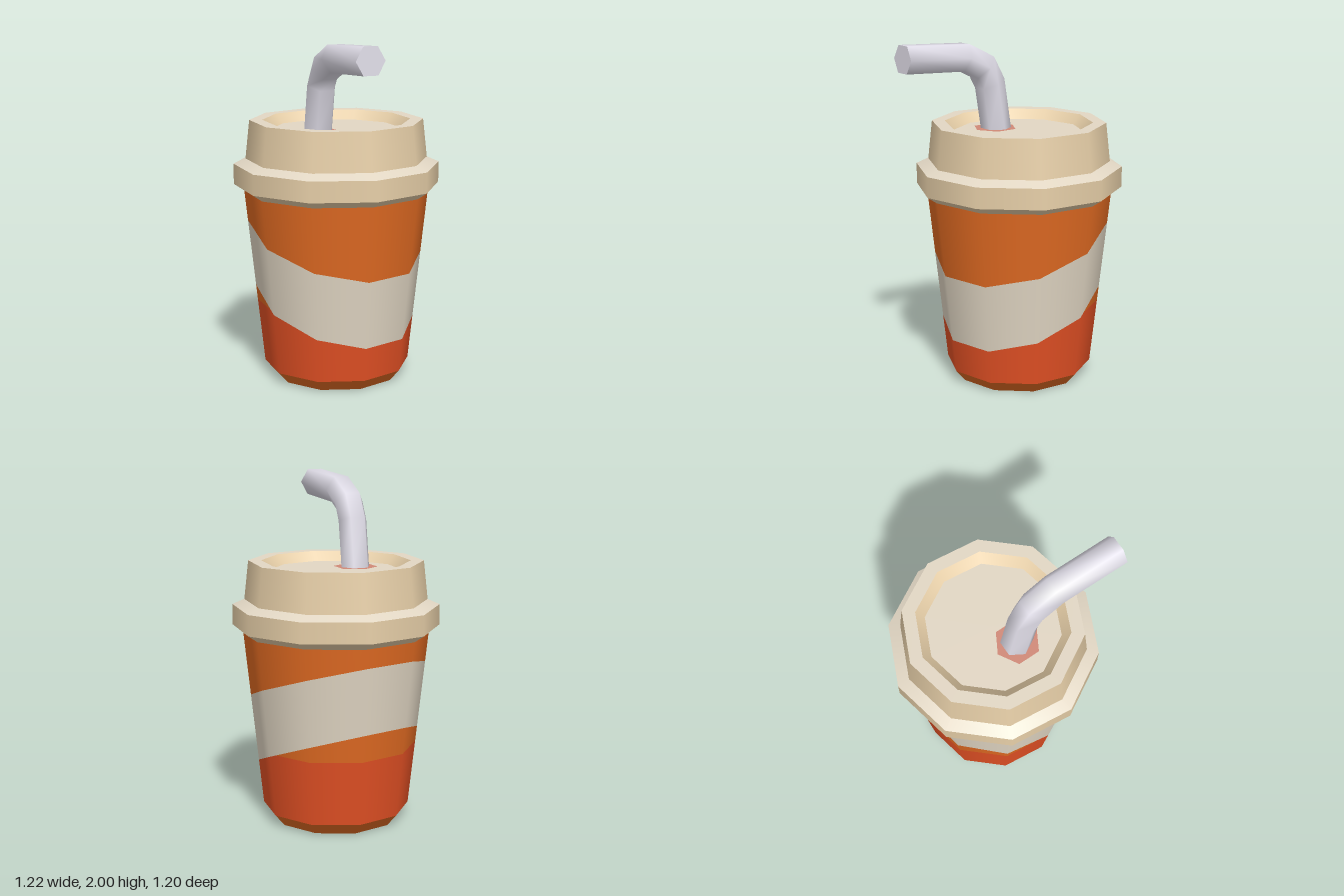
import * as THREE from 'three';

const SIDES = 10;
const CX = -0.04; // cup axis

const mat = (name, color, side = THREE.FrontSide) => {
  const m = new THREE.MeshStandardMaterial({ color, side });
  m.name = name;
  return m;
};

function build(name, positions, indices, material, normals) {
  const g = new THREE.BufferGeometry();
  g.setAttribute('position', new THREE.Float32BufferAttribute(positions, 3));
  g.setIndex(indices);
  if (normals) g.setAttribute('normal', new THREE.Float32BufferAttribute(normals, 3));
  else g.computeVertexNormals();
  const mesh = new THREE.Mesh(g, material);
  mesh.name = name;
  return mesh;
}

// One ten-sided ring between two profile points [radius, y]
function ring(name, a, b, material) {
  const g = new THREE.LatheGeometry([new THREE.Vector2(...a), new THREE.Vector2(...b)], SIDES);
  const mesh = new THREE.Mesh(g, material);
  mesh.position.x = CX;
  mesh.name = name;
  return mesh;
}

// Tapered cup wall
const Y0 = 0.07, Y1 = 1.11, R0 = 0.43, R1 = 0.54;
const K = (R1 - R0) / (Y1 - Y0);
const radiusAt = (y) => R0 + K * (y - Y0);

// Height at which the sloping plane y = a + b*x meets the wall in direction ux
const slope = (a, b) => (ux) => (a + b * (CX + ux * (R0 - K * Y0))) / (1 - b * ux * K);

// Part of the wall between two height functions
function wallBand(name, low, high, material) {
  const pos = [], nor = [], idx = [];
  const steps = 12, cols = SIDES * steps;
  for (let i = 0; i <= cols; i++) {
    const face = Math.floor(i / steps), t = (i % steps) / steps;
    const p = (face / SIDES) * Math.PI * 2, q = ((face + 1) / SIDES) * Math.PI * 2;
    const ux = Math.sin(p) * (1 - t) + Math.sin(q) * t;
    const uz = Math.cos(p) * (1 - t) + Math.cos(q) * t;
    const n = new THREE.Vector3(ux, -K, uz).normalize();
    for (const y of [low(ux), high(ux)]) {
      pos.push(CX + ux * radiusAt(y), y, uz * radiusAt(y));
      nor.push(n.x, n.y, n.z);
    }
    if (i < cols) {
      const a = i * 2;
      idx.push(a, a + 2, a + 3, a, a + 3, a + 1);
    }
  }
  return build(name, pos, idx, material, nor);
}

// Six-sided bent straw: path given as [distance along bend direction, y]
function straw(material) {
  const path = [[0, 1.46], [0.045, 1.74], [0.1, 1.84], [0.23, 1.905], [0.63, 1.924]];
  const r = 0.088, hx = 0.975, hz = 0.22;
  const pos = [], idx = [];
  const dir = (i) => new THREE.Vector2(path[i + 1][0] - path[i][0], path[i + 1][1] - path[i][1]).normalize();
  const addLoop = (i) => {
    const last = path.length - 1;
    const d1 = dir(Math.max(i - 1, 0)), d2 = dir(Math.min(i, last - 1));
    const t = d1.clone().add(d2).normalize();
    const miter = 1 / t.dot(d1);
    for (let j = 0; j < 6; j++) {
      const s = r * Math.cos((j * Math.PI) / 3);
      const u = r * Math.sin((j * Math.PI) / 3) * miter;
      const along = path[i][0] - t.y * u;
      pos.push(-0.02 + along * hx + s * hz, path[i][1] + t.x * u, 0.155 + along * hz - s * hx);
    }
  };
  path.forEach((_, i) => addLoop(i));
  for (let i = 0; i < path.length - 1; i++) {
    for (let j = 0; j < 6; j++) {
      const a = i * 6 + j, b = i * 6 + ((j + 1) % 6);
      idx.push(a, b, b + 6, a, b + 6, a + 6);
    }
  }
  // closed tip, with its own corners so the edge stays sharp
  addLoop(path.length - 1);
  const c = path.length * 6;
  for (let j = 1; j < 5; j++) idx.push(c, c + j, c + j + 1);
  return build('straw', pos, idx, material);
}

export function createModel() {
  const orange = mat('orange', 0xe06a22);
  const red = mat('red', 0xe25024);
  const cream = mat('cream', 0xe2d7c4);
  const tan = mat('tan', 0xe8d0a9);
  const grey = mat('pale grey', 0xe0dde8);
  const pink = mat('dusty pink', 0xd08977, THREE.DoubleSide);

  const model = new THREE.Group();
  model.name = 'drinkCup';

  // Cup wall with a slanted stripe
  const stripeTop = slope(0.815, -0.338);
  const stripeLow = slope(0.417, -0.38);
  const redTop = (ux) => Math.min(0.45, stripeLow(ux));
  const cup = new THREE.Group();
  cup.name = 'cup';
  cup.add(
    ring('cupBottom', [0, 0], [0.37, 0], red),
    ring('cupFoot', [0.37, 0], [R0, Y0], orange),
    wallBand('lowerWall', () => Y0, redTop, red),
    wallBand('middleWall', redTop, stripeLow, orange),
    wallBand('stripe', stripeLow, stripeTop, cream),
    wallBand('upperWall', stripeTop, () => Y1, orange),
  );

  // Lid, from the underside of the flange up and into the recess
  const floorY = 1.47;
  const lid = new THREE.Group();
  lid.name = 'lid';
  lid.add(
    ring('flangeUnderside', [0.54, 1.11], [0.6, 1.15], tan),
    ring('flangeSide', [0.6, 1.15], [0.6, 1.27], tan),
    ring('flangeTop', [0.6, 1.27], [0.53, 1.3], cream),
    ring('lidWall', [0.53, 1.3], [0.505, 1.525], tan),
    ring('lidRim', [0.505, 1.525], [0.43, 1.525], cream),
    ring('recessWall', [0.43, 1.525], [0.38, floorY], tan),
    ring('recessFloor', [0.38, floorY], [0, floorY], cream),
  );

  // Thin patch around the straw hole
  const patch = new THREE.Mesh(new THREE.CircleGeometry(0.13, 6).rotateX(-Math.PI / 2).rotateY(-0.2), pink);
  patch.name = 'strawHole';
  patch.position.set(-0.015, floorY + 0.004, 0.16);

  model.add(cup, lid, patch, straw(grey));
  return model;
}
